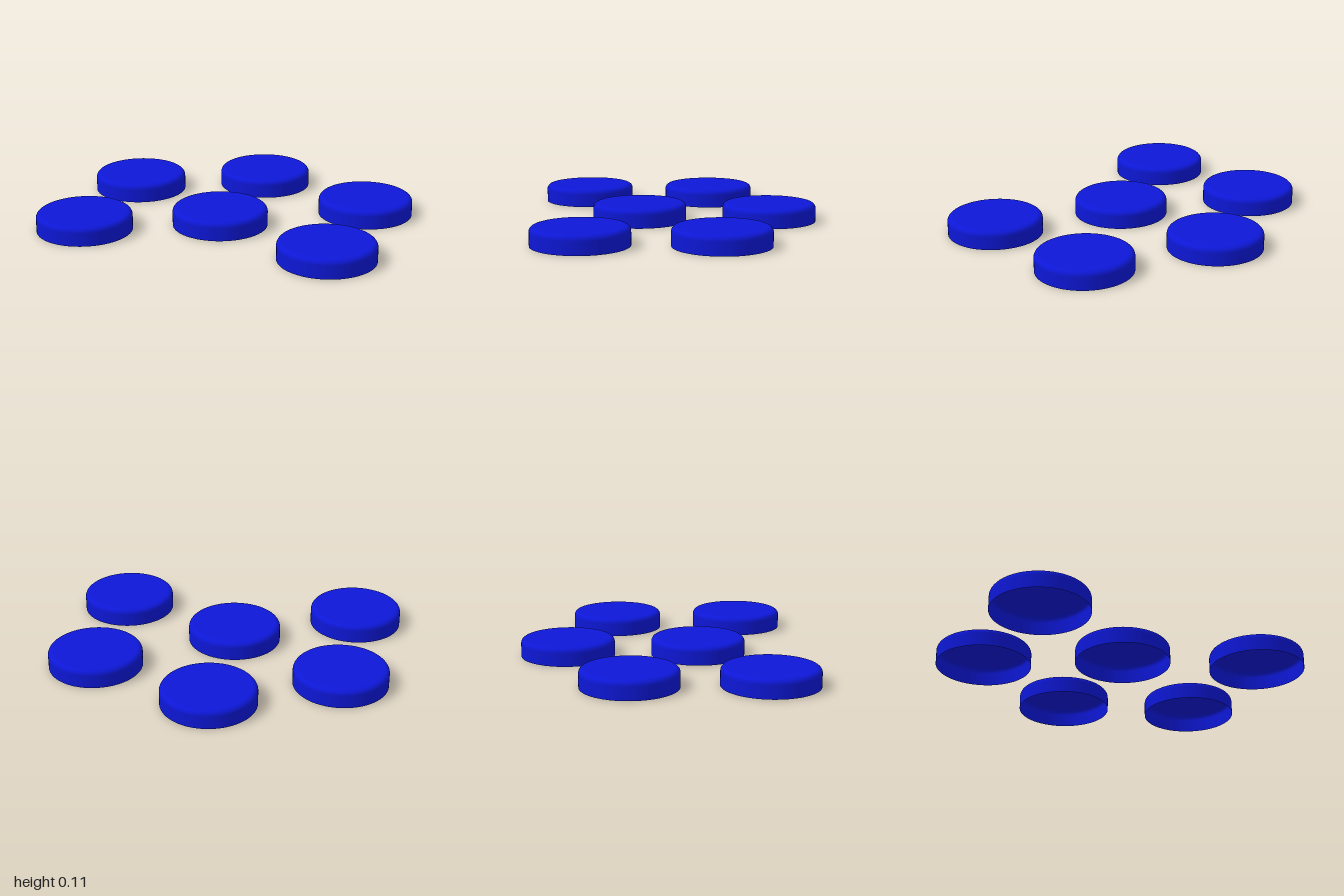
import * as THREE from 'three';

const RADIUS = 0.278, HEIGHT = 0.11, ROUND = 0.03;

// Cap outline: straight wall, rounded shoulder, flat top; open underneath
function capGeometry() {
  const points = [new THREE.Vector2(RADIUS, 0), new THREE.Vector2(RADIUS, HEIGHT - ROUND - 0.005)];
  for (let i = 0; i <= 8; i++) {
    const a = (i / 8) * Math.PI / 2;
    points.push(new THREE.Vector2(
      RADIUS - ROUND + ROUND * Math.cos(a),
      HEIGHT - ROUND + ROUND * Math.sin(a)));
  }
  points.push(new THREE.Vector2(RADIUS - ROUND - 0.01, HEIGHT), new THREE.Vector2(0, HEIGHT));
  return new THREE.LatheGeometry(points, 64);
}

export function createModel() {
  const group = new THREE.Group();
  group.name = 'buttonCaps';
  const geometry = capGeometry();
  const material = new THREE.MeshStandardMaterial({ color: 0x0d17d6, side: THREE.DoubleSide });

  // Three columns of two caps, each column offset in depth
  const columns = [
    { name: 'right', x: -0.722, z: [-0.207, 0.565] },
    { name: 'middle', x: -0.02, z: [-0.565, 0.208] },
    { name: 'left', x: 0.722, z: [-0.272, 0.5] },
  ];
  for (const { name, x, z } of columns) {
    z.forEach((depth, i) => {
      const cap = new THREE.Mesh(geometry, material);
      cap.name = name + (i === 0 ? 'BackCap' : 'FrontCap');
      cap.position.set(x, 0, depth);
      group.add(cap);
    });
  }
  return group;
}
